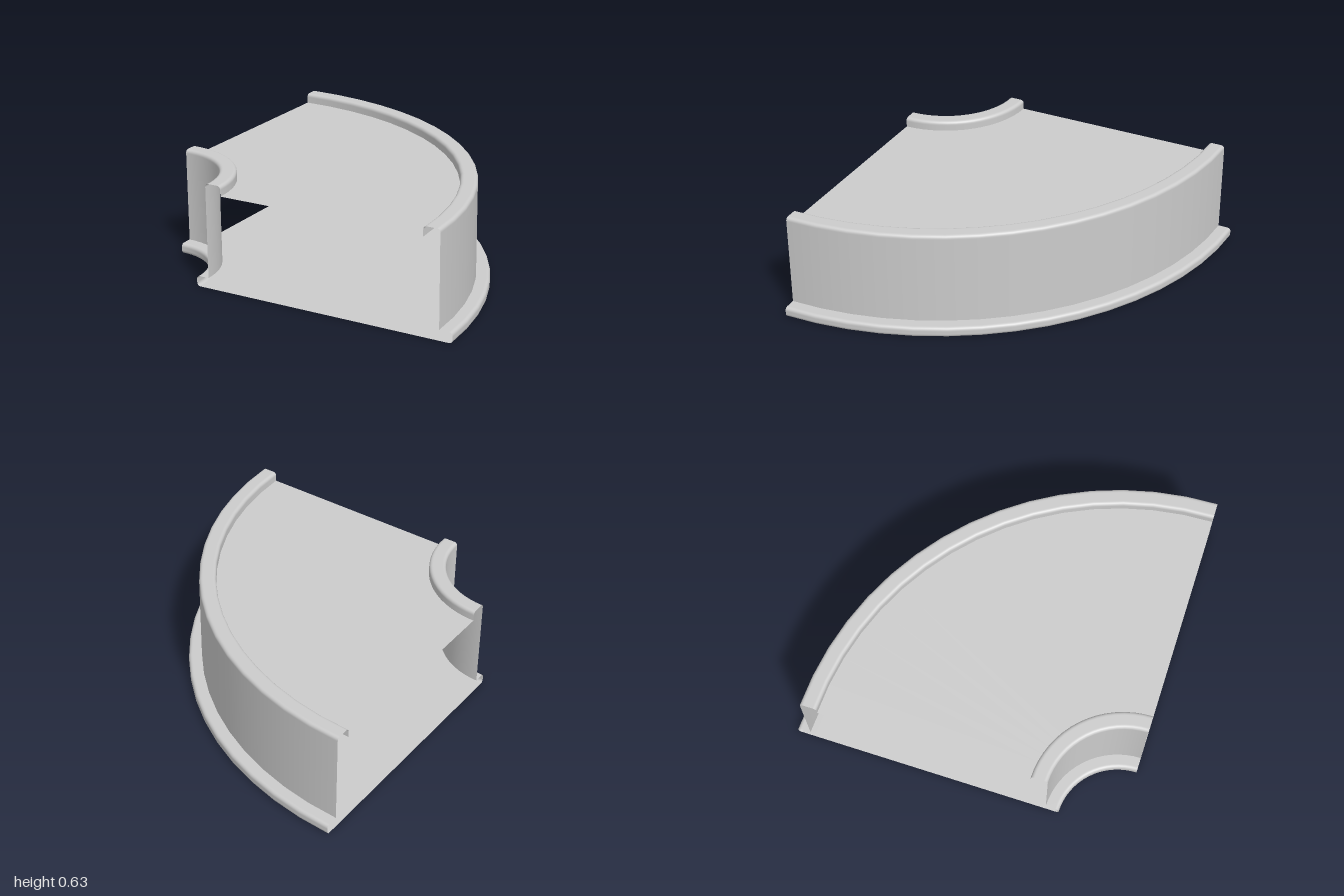
import * as THREE from 'three';

const material = new THREE.MeshStandardMaterial({ color: 0xcccccc, side: THREE.DoubleSide });
const SEGMENTS = 16;
const ROUND = 0.02;

// Profile from [radius, y, rounded?] corners, with rounded corners as short arcs
function profile(corners) {
  const points = [];
  corners.forEach(([r, y, rounded], i) => {
    const c = new THREE.Vector2(r, y);
    if (!rounded) {
      points.push(c);
      return;
    }
    const toward = (k) => new THREE.Vector2(corners[k][0], corners[k][1]).sub(c).normalize();
    const a = toward(i - 1), b = toward(i + 1);
    const centre = c.clone().addScaledVector(a, ROUND).addScaledVector(b, ROUND);
    // extra points just outside the arc keep the flat faces flat in shading
    points.push(c.clone().addScaledVector(a, ROUND + 0.004));
    for (let s = 0; s <= 6; s++) {
      const t = (s / 6) * Math.PI / 2;
      points.push(centre.clone()
        .addScaledVector(b, -Math.cos(t) * ROUND)
        .addScaledVector(a, -Math.sin(t) * ROUND));
    }
    const last = points.length;
    // the arc runs from the incoming edge to the outgoing edge
    const arc = points.splice(last - 7, 7);
    const start = c.clone().addScaledVector(a, ROUND);
    if (arc[0].distanceTo(start) > 1e-6) arc.reverse();
    points.push(...arc, c.clone().addScaledVector(b, ROUND + 0.004));
  });
  return points;
}

// Quarter sweep of a profile about the corner at x = -1, z = 1
function sweep(name, corners) {
  const geometry = new THREE.LatheGeometry(profile(corners), SEGMENTS, Math.PI / 2, Math.PI / 2);
  const mesh = new THREE.Mesh(geometry, material);
  mesh.name = name;
  mesh.position.set(-1, 0, 1);
  return mesh;
}

export function createModel() {
  const group = new THREE.Group();
  group.name = 'quarterCurveSection';

  group.add(
    // flat bottom and recessed top surface, ends left open
    sweep('floor', [[0.47, 0], [1.9, 0]]),
    sweep('deck', [[1.82, 0.57], [0.55, 0.57]]),

    // outer side: foot trim, then wall folding over into the rail
    sweep('outerTrim', [[1.9, 0], [2, 0, true], [2, 0.063, true], [1.92, 0.063]]),
    sweep('outerWall', [[1.92, 0.063], [1.92, 0.63, true], [1.82, 0.63, true], [1.82, 0.57]]),

    // inner side, same construction facing the centre of the curve
    sweep('innerWall', [[0.55, 0.57], [0.55, 0.63, true], [0.45, 0.63, true], [0.45, 0.063]]),
    sweep('innerTrim', [[0.45, 0.063], [0.37, 0.063, true], [0.37, 0, true], [0.47, 0]]),
  );
  return group;
}
